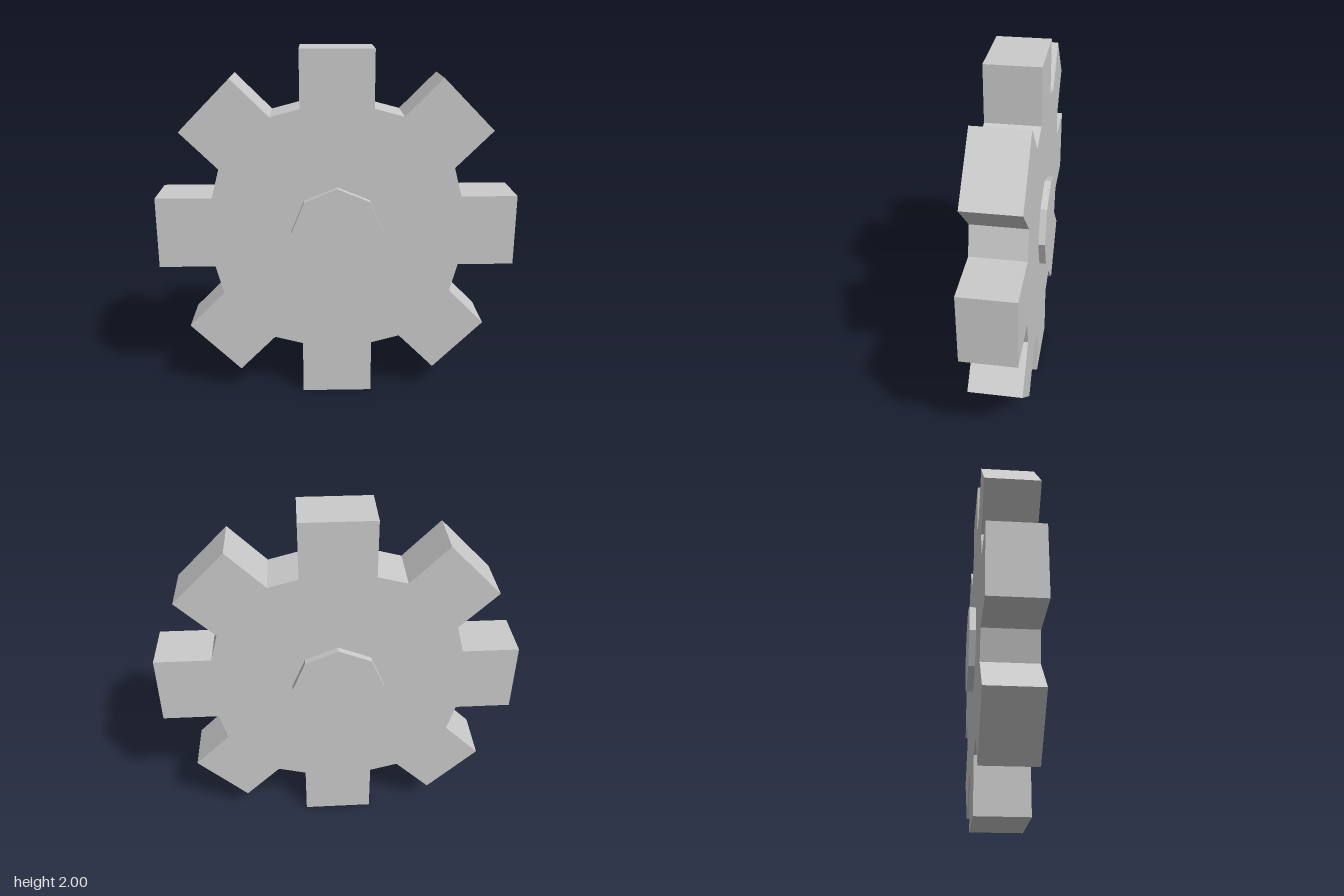
import * as THREE from 'three';

export function createModel() {
  const group = new THREE.Group();
  const material = new THREE.MeshStandardMaterial({ color: 0xcccccc, flatShading: true });

  // Toothed disc: eight square teeth, with the straight and diagonal roots at slightly different depths
  const half = 0.2, tip = 1, depth = 0.294;
  const points = [];
  for (let i = 0; i < 8; i++) {
    const root = i % 2 ? 0.711 : 0.687;
    for (const [r, t] of [[root, -half], [tip, -half], [tip, half], [root, half]]) {
      points.push(new THREE.Vector2(r, t).rotateAround(new THREE.Vector2(), i * Math.PI / 4));
    }
  }
  const discGeometry = new THREE.ExtrudeGeometry(new THREE.Shape(points), { depth, bevelEnabled: false });
  discGeometry.translate(0, 0, -depth / 2);
  const disc = new THREE.Mesh(discGeometry, material);
  disc.name = 'toothedDisc';
  disc.position.y = 1;
  group.add(disc);

  // Octagonal hub, standing slightly proud of both faces
  const hub = new THREE.Mesh(new THREE.CylinderGeometry(0.257, 0.257, 0.368, 8), material);
  hub.name = 'hub';
  hub.rotation.x = Math.PI / 2;
  hub.position.y = 1;
  group.add(hub);

  return group;
}
